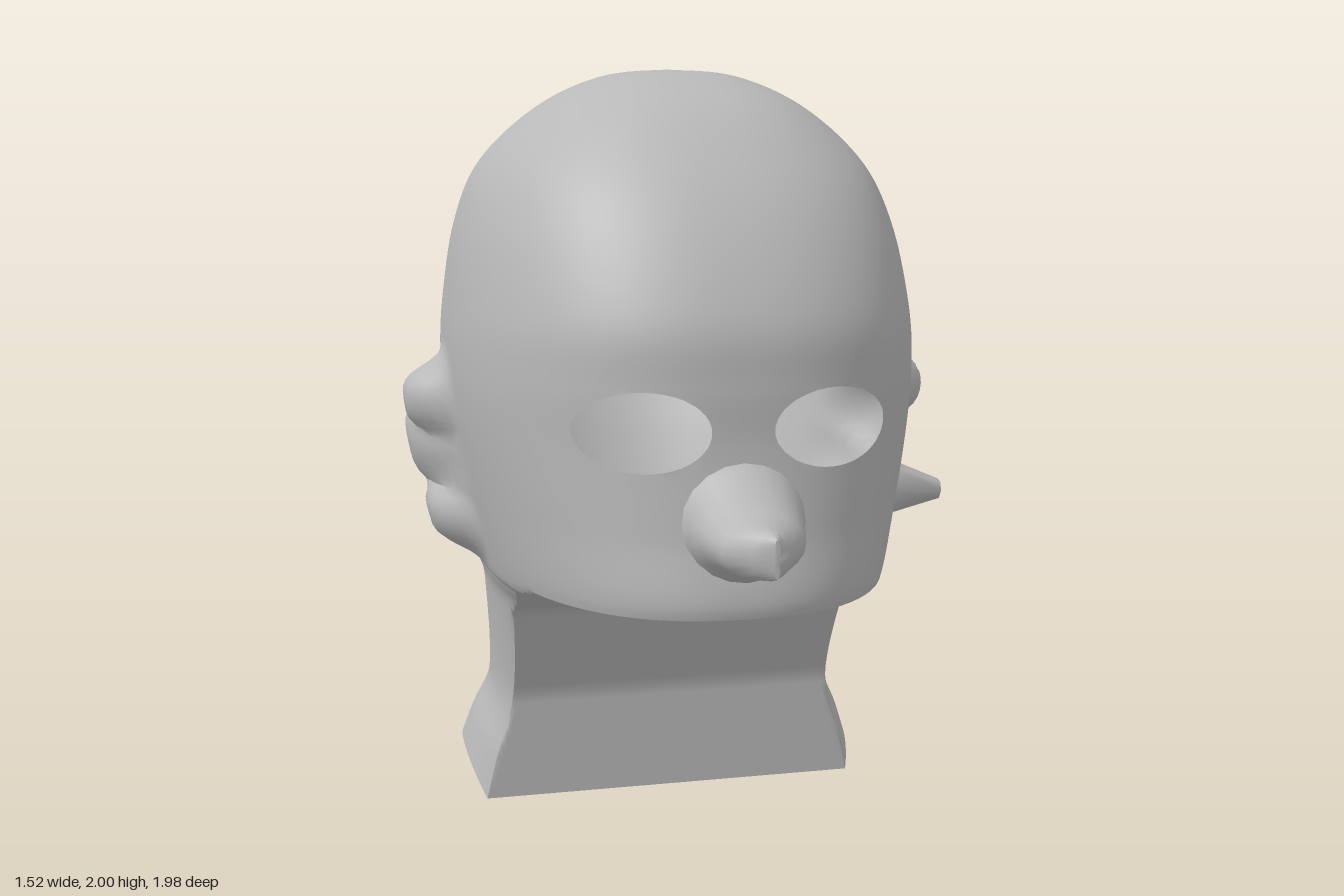
import * as THREE from 'three';
import { toCreasedNormals } from 'three/addons/utils/BufferGeometryUtils.js';

const CX = -0.03; // the head sits slightly to its right
const SEG = 180, SUB = 9;

// Horizontal sections, top to bottom: y, half width, front z, widest z, back z
const SECTIONS = [
  [2.0, 0, -0.12, -0.12, -0.12],
  [1.98, 0.18, 0.08, -0.13, -0.36],
  [1.9, 0.35, 0.3, -0.14, -0.61],
  [1.76, 0.5, 0.47, -0.15, -0.79],
  [1.6, 0.57, 0.595, -0.15, -0.91],
  [1.4, 0.605, 0.69, -0.15, -0.97],
  [1.25, 0.615, 0.705, -0.15, -0.985],
  [1.1, 0.605, 0.705, -0.15, -0.96],
  [0.9, 0.57, 0.725, -0.16, -0.87],
  [0.71, 0.53, 0.745, -0.2, -0.79],
  [0.66, 0.515, 0.62, -0.23, -0.78],
  [0.57, 0.495, 0.45, -0.27, -0.768],
  [0.3, 0.485, 0.2, -0.3, -0.775],
  [0.12, 0.535, 0.18, -0.32, -0.795],
  [0, 0.565, 0.18, -0.33, -0.81],
];
const JAW = 9; // index of the section where the face ends

// Flat throat panel: y, z
const THROAT = [[0.71, 0.4], [0.66, 0.2], [0.57, 0.05], [0.3, -0.07], [0, -0.09]];

// Ear lumps: y, z, radius y, radius z, height
const EAR = [
  [1.13, -0.1, 0.1, 0.1, 0.115],
  [1.0, -0.22, 0.14, 0.18, 0.12],
  [0.82, -0.13, 0.1, 0.14, 0.11],
  [0.9, -0.22, 0.17, 0.2, 0.08],
];

function section(t) {
  const i = Math.min(Math.floor(t), SECTIONS.length - 2), f = t - i;
  const at = k => SECTIONS[Math.max(0, Math.min(SECTIONS.length - 1, k))];
  return at(i).map((p1, c) => {
    const p0 = at(i - 1)[c], p2 = at(i + 1)[c], p3 = at(i + 2)[c];
    const m1 = i === 0 ? p2 - p1 : (p2 - p0) / 2, m2 = (p3 - p1) / 2;
    const f2 = f * f, f3 = f2 * f;
    return (2 * f3 - 3 * f2 + 1) * p1 + (f3 - 2 * f2 + f) * m1 + (3 * f2 - 2 * f3) * p2 + (f3 - f2) * m2;
  });
}

function throatZ(y) {
  for (let i = 1; i < THROAT.length; i++) {
    const [y0, z0] = THROAT[i - 1], [y1, z1] = THROAT[i];
    if (y >= y1) return z0 + (z1 - z0) * Math.min(1, Math.max(0, (y0 - y) / (y0 - y1)));
  }
  return -0.09;
}

// Depth of the face surface at a given x (from the head's middle) and y
function faceZ(x, y) {
  let lo = 0, hi = JAW;
  for (let k = 0; k < 30; k++) {
    const mid = (lo + hi) / 2;
    if (section(mid)[0] > y) lo = mid; else hi = mid;
  }
  const [, w, zf, zc] = section(lo);
  return zc + (zf - zc) * Math.pow(Math.max(0, 1 - Math.pow(Math.abs(x) / w, 2.4)), 1 / 2.4);
}

function earHeight(y, z) {
  let h = 0;
  for (const [ey, ez, ry, rz, a] of EAR) {
    const d = ((y - ey) / ry) ** 2 + ((z - ez) / rz) ** 2;
    h = Math.max(h, a * Math.exp(-d * d * 0.9));
  }
  return h;
}

function headGeometry() {
  const pos = [], inEye = [], index = [];
  const rows = [];
  for (let k = 0; k <= JAW * SUB; k++) rows.push([k / SUB, false]);
  for (let k = JAW * SUB; k <= (SECTIONS.length - 1) * SUB; k++) rows.push([k / SUB, true]);

  for (const [t, neck] of rows) {
    const [y0, w, zf, zc, zb] = section(t);
    for (let j = 0; j <= SEG; j++) {
      const a = (j / SEG) * Math.PI * 2, c = Math.cos(a), s = Math.sin(a);
      const e = s > 0 ? 2 / 2.4 : 1;
      let y = y0, x = w * Math.sign(c) * Math.pow(Math.abs(c), e);
      let z = s > 0 ? zc + (zf - zc) * Math.pow(s, e) : zc + (zc - zb) * s;
      let eye = false;
      if (neck) {
        z = Math.min(z, throatZ(y));
        // the lower rim arches up at the sides
        if (y < 0.3) {
          const rim = 0.1 * Math.max(0, 1 - Math.abs((z + 0.45) / 0.36) ** 3);
          y = 0.3 - (0.3 - y) * (0.3 - rim) / 0.3;
        }
      } else if (z > 0.3) {
        // pull points inside an eye opening out to its edge
        const ex = 0.23 * Math.sign(x), dx = (x - ex) / 0.155, dy = (y - 1.145) / 0.095;
        const d = Math.hypot(dx, dy) || 1e-3;
        if (d < 1) {
          eye = true;
          x = ex + (dx / d) * 0.155;
          y = 1.145 + (dy / d) * 0.095;
          z = faceZ(x, y);
        }
      }
      if (Math.abs(c) > 0.3) x += Math.sign(c) * earHeight(y, z);
      pos.push(x + CX, y, z);
      inEye.push(eye);
    }
  }
  const tri = (a, b, c) => { if (!(inEye[a] && inEye[b] && inEye[c])) index.push(a, b, c); };
  for (let i = 0; i < rows.length - 1; i++) {
    for (let j = 0; j < SEG; j++) {
      const a = i * (SEG + 1) + j, b = a + 1, c = a + SEG + 1, d = c + 1;
      tri(a, b, c);
      tri(b, d, c);
    }
  }
  const g = new THREE.BufferGeometry();
  g.setAttribute('position', new THREE.Float32BufferAttribute(pos, 3));
  g.setIndex(index);
  return toCreasedNormals(g, 0.7);
}

// Nose sections along z: z, centre x, centre y, radius x, radius y
function noseGeometry() {
  const N = 20, pos = [], index = [];
  const rings = [
    [0.66, -0.03, 0.93, 0.17, 0.17], [0.73, -0.03, 0.925, 0.14, 0.135],
    [0.79, -0.03, 0.915, 0.125, 0.095], [0.86, -0.035, 0.912, 0.11, 0.075],
    [0.91, -0.045, 0.91, 0.09, 0.065], [0.96, -0.035, 0.91, 0.045, 0.055],
    [0.99, -0.03, 0.91, 0.008, 0.045], [0.99, -0.03, 0.91, 0, 0],
  ];
  rings.forEach(([z, x, y, rx, ry], i) => {
    for (let j = 0; j <= N; j++) {
      const a = (j / N) * Math.PI * 2;
      pos.push(x + rx * Math.cos(a), y + ry * Math.sin(a), z);
      if (i && j) {
        const d = i * (N + 1) + j, c = d - 1, b = d - N - 1, e = b - 1;
        index.push(e, b, c, b, d, c);
      }
    }
  });
  const g = new THREE.BufferGeometry();
  g.setAttribute('position', new THREE.Float32BufferAttribute(pos, 3));
  g.setIndex(index);
  return toCreasedNormals(g, 0.8);
}

export function createModel() {
  const group = new THREE.Group();
  group.name = 'headBust';
  const grey = new THREE.MeshStandardMaterial({ color: 0xb8b8b8 });
  grey.name = 'plainGrey';
  grey.side = THREE.DoubleSide;
  const add = (name, geometry) => {
    const mesh = new THREE.Mesh(geometry, grey);
    mesh.name = name;
    group.add(mesh);
    return mesh;
  };

  add('headAndNeck', headGeometry());
  add('nose', noseGeometry());

  // pointed lobe on the left ear
  const spike = add('leftEarPoint', new THREE.CylinderGeometry(0.03, 0.085, 0.16, 7));
  spike.rotation.z = -Math.PI / 2 - 0.08;
  spike.position.set(0.68, 0.83, -0.09);

  return group;
}
